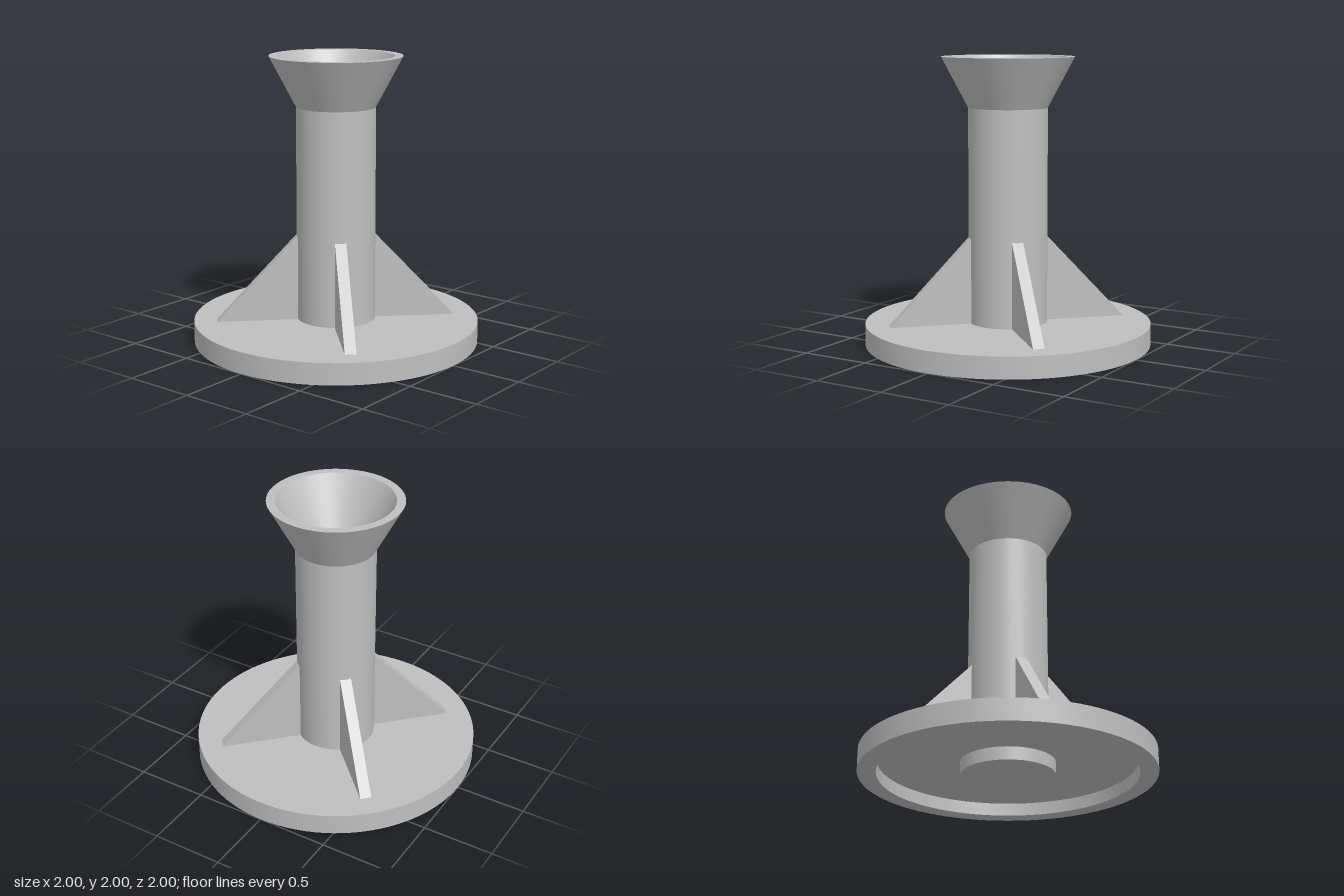
import * as THREE from 'three';
import { toCreasedNormals } from 'three/addons/utils/BufferGeometryUtils.js';

const grey = new THREE.MeshStandardMaterial({ color: 0xbfbfbf });
grey.name = 'plain grey';

// Turned part with crisp edges; the profile runs counterclockwise as [radius, height]
function turned(name, profile) {
  const points = profile.map(([r, y]) => new THREE.Vector2(r, y));
  const mesh = new THREE.Mesh(toCreasedNormals(new THREE.LatheGeometry(points, 96), 0.35), grey);
  mesh.name = name;
  return mesh;
}

export function createModel() {
  const model = new THREE.Group();
  model.name = 'flangedFunnelStand';

  // Round base, recessed underneath between the outer rim and a central boss
  model.add(turned('base', [
    [0, 0], [0.32, 0], [0.32, 0.09], [0.875, 0.09], [0.875, 0],
    [1, 0], [1, 0.15], [0, 0.15],
  ]));

  // Hollow column with a flared mouth, a conical inlet and a narrow bore
  model.add(turned('column', [
    [0.275, 0.15], [0.275, 1.65], [0.46, 2], [0.4, 2], [0.155, 1.55], [0.155, 0.15],
  ]));

  // Four triangular ribs on the diagonals
  const thickness = 0.078;
  const outline = new THREE.Shape([
    new THREE.Vector2(0.272, 0.15),
    new THREE.Vector2(0.838, 0.15),
    new THREE.Vector2(0.272, 0.75),
  ]);
  const ribGeometry = new THREE.ExtrudeGeometry(outline, { depth: thickness, bevelEnabled: false });
  ribGeometry.translate(0, 0, -thickness / 2);
  for (let i = 0; i < 4; i++) {
    const rib = new THREE.Mesh(ribGeometry, grey);
    rib.name = 'rib' + (i + 1);
    rib.rotation.y = Math.PI / 4 + i * Math.PI / 2;
    model.add(rib);
  }
  return model;
}
